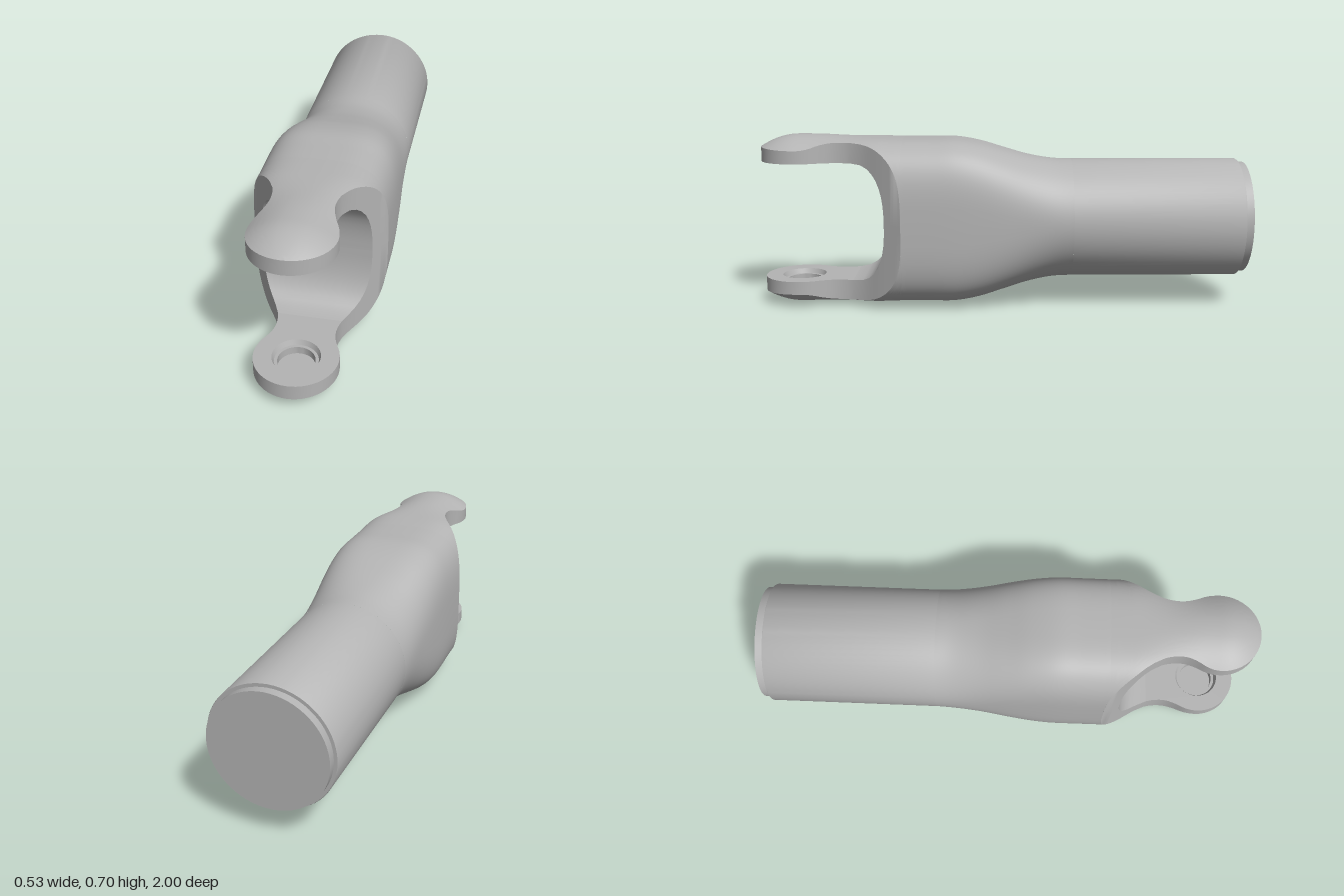
import * as THREE from 'three';
import { toCreasedNormals } from 'three/addons/utils/BufferGeometryUtils.js';

const MID = 0.3525;      // height of the long axis
const SLOT = 0.242;      // half height of the fork slot
const SLOT_Z = 0.48;     // floor of the slot
const FLAT_Z = 0.62;     // where the fork arms become flat inside
const EYE_Z = 0.842, EYE_R = 0.158;
const N = 3.5;           // squareness of the housing section

// Smooth curve through [z, value] points, sampled as a function of z
function through(points) {
  const pts = new THREE.CatmullRomCurve3(points.map(([z, v]) => new THREE.Vector3(z, v, 0))).getPoints(200);
  return (z) => {
    if (z <= pts[0].x) return pts[0].y;
    for (let i = 1; i < pts.length; i++) {
      if (z <= pts[i].x) {
        const t = (z - pts[i - 1].x) / (pts[i].x - pts[i - 1].x);
        return THREE.MathUtils.lerp(pts[i - 1].y, pts[i].y, t);
      }
    }
    return pts[pts.length - 1].y;
  };
}

const neckWidth = through([[0.41, 0.263], [0.5, 0.2], [0.57, 0.15], [0.62, 0.125], [0.68, 0.115], [0.72, 0.12], [0.758, 0.134]]);
const bodyWidth = through([[-0.28, 0.245], [-0.1, 0.25], [0.05, 0.258], [0.2, 0.263], [0.41, 0.263]]);
const bodyHeight = through([[-0.28, 0.245], [-0.2, 0.248], [-0.1, 0.264], [0, 0.291], [0.1, 0.319], [0.2, 0.335], [0.3, 0.335], [0.41, 0.335]]);
const ridge = through([[0.41, 0.335], [0.6, 0.341], [0.75, 0.35], [0.84, 0.352], [1, 0.352]]);

// Half width of the fork in plan
function armWidth(z) {
  if (z < 0.758) return neckWidth(z);
  return Math.sqrt(Math.max(0, EYE_R ** 2 - (z - EYE_Z) ** 2));
}

// Outer height of an arm, from the housing curve to the domed eye
function armTop(x, z) {
  const u = Math.min(1, Math.abs(x) / 0.263);
  const housing = 0.335 * (1 - Math.pow(Math.max(0, 1 - u ** N), 1 / N));
  const dome = 0.057 * (x / EYE_R) ** 2;
  const k = THREE.MathUtils.smoothstep(z, 0.5, 0.8);
  const nose = z > EYE_Z ? 0.05 * ((z - EYE_Z) / EYE_R) ** 2 : 0;
  return ridge(z) - THREE.MathUtils.lerp(housing, dome, k) - nose;
}

// Half height of the rounded slot
function slotHeight(z) {
  const t = THREE.MathUtils.clamp((z - SLOT_Z) / (FLAT_Z - SLOT_Z), 0, 1);
  return SLOT * Math.pow(1 - (1 - t) ** 2.5, 1 / 2.5);
}

const power = (c, n) => Math.sign(c) * Math.pow(Math.abs(c), 2 / n);

// Skin through rows of [x, y, z] points
function loft(rows, crease) {
  const pos = [], index = [], n = rows[0].length;
  rows.forEach((row) => row.forEach((p) => pos.push(...p)));
  for (let i = 0; i < rows.length - 1; i++) {
    for (let j = 0; j < n - 1; j++) {
      const a = i * n + j, b = a + 1, c = a + n, d = c + 1;
      index.push(a, b, c, b, d, c);
    }
  }
  const g = new THREE.BufferGeometry();
  g.setAttribute('position', new THREE.Float32BufferAttribute(pos, 3));
  g.setIndex(index);
  return toCreasedNormals(g, crease);
}

export function createModel() {
  const model = new THREE.Group();
  model.name = 'forkedJoint';
  const metal = new THREE.MeshStandardMaterial({ color: 0xb4b4b4 });
  metal.name = 'grey metal';
  const add = (parent, name, geometry) => {
    const mesh = new THREE.Mesh(geometry, metal);
    mesh.name = name;
    parent.add(mesh);
    return mesh;
  };

  // Round shaft with a stepped end
  const shaftProfile = [[0, 0], [0.23, 0], [0.23, 0.032], [0.243, 0.032], [0.245, 0.036], [0.245, 0.72]]
    .map(([r, y]) => new THREE.Vector2(r, y));
  const shaftGeometry = new THREE.LatheGeometry(shaftProfile, 64).rotateX(Math.PI / 2);
  add(model, 'shaft', toCreasedNormals(shaftGeometry, 0.5)).position.set(0, MID, -1);

  // Housing swelling from the round shaft to a rounded box section
  const bodyRows = [];
  for (let i = 0; i <= 36; i++) {
    const z = -0.28 + 0.69 * i / 36;
    const n = THREE.MathUtils.lerp(2, N, THREE.MathUtils.smoothstep(z, -0.28, 0.22));
    const row = [];
    for (let j = 0; j <= 80; j++) {
      const a = j / 80 * Math.PI * 2;
      row.push([bodyWidth(z) * power(Math.cos(a), n), bodyHeight(z) * power(Math.sin(a), n), z]);
    }
    bodyRows.push(row);
  }
  add(model, 'housing', loft(bodyRows, 0.7)).position.y = MID;

  // Stations along the fork: cheek, slot curve, neck, eye
  const cheek = [0.41, 0.412, 0.416, 0.422, 0.43, 0.44, 0.453, 0.466];
  const slot = [0, 0.003, 0.01, 0.03, 0.07, 0.13, 0.22, 0.35, 0.5, 0.7, 1].map((t) => SLOT_Z + t * (FLAT_Z - SLOT_Z));
  const neck = [0.64, 0.66, 0.68, 0.7, 0.72, 0.74];
  const eye = [];
  for (let i = 0; i <= 18; i++) {
    eye.push(EYE_Z - EYE_R * Math.cos(THREE.MathUtils.lerp(1.01, Math.PI, i / 18)));
  }
  const flat = [FLAT_Z, ...neck, ...eye];

  const outerRows = [...cheek, ...slot, ...neck, ...eye].map((z) => {
    const w = armWidth(z), h = slotHeight(z), row = [[w, h, z]];
    for (let j = 0; j <= 40; j++) {
      const x = w * power(Math.cos(j / 40 * Math.PI), N);
      row.push([x, armTop(x, z), z]);
    }
    row.push([-w, h, z]);
    return row;
  });
  const outerGeometry = loft(outerRows, 0.6);

  const slotRows = slot.map((z) => [-1, -0.5, 0, 0.5, 1].map((s) => [s * armWidth(z), slotHeight(z), z]));
  const slotGeometry = loft(slotRows, 0.9);

  // Flat inner face with the bearing hole
  const right = flat.map((z) => new THREE.Vector2(armWidth(z), z));
  const left = flat.slice(0, -1).reverse().map((z) => new THREE.Vector2(-armWidth(z), z));
  const face = new THREE.Shape([...right, ...left]);
  face.holes.push(new THREE.Path().absarc(0, EYE_Z, 0.09, 0, Math.PI * 2, true));
  const faceGeometry = new THREE.ShapeGeometry(face, 24).rotateX(Math.PI / 2);

  // Stepped blind hole
  const holeProfile = [[0, 0.05], [0.07, 0.05], [0.07, 0.02], [0.082, 0.02], [0.09, 0]]
    .map(([r, y]) => new THREE.Vector2(r, y));
  const holeGeometry = toCreasedNormals(new THREE.LatheGeometry(holeProfile, 48), 0.5);

  // Upper and lower arm, the lower one turned over about the long axis
  for (const [name, turn] of [['upperArm', 0], ['lowerArm', Math.PI]]) {
    const arm = new THREE.Group();
    arm.name = name;
    arm.position.y = MID;
    arm.rotation.z = turn;
    add(arm, 'armOuter', outerGeometry);
    add(arm, 'slotWall', slotGeometry);
    add(arm, 'eyeFace', faceGeometry).position.y = SLOT;
    add(arm, 'bearingHole', holeGeometry).position.set(0, SLOT, EYE_Z);
    model.add(arm);
  }
  return model;
}
